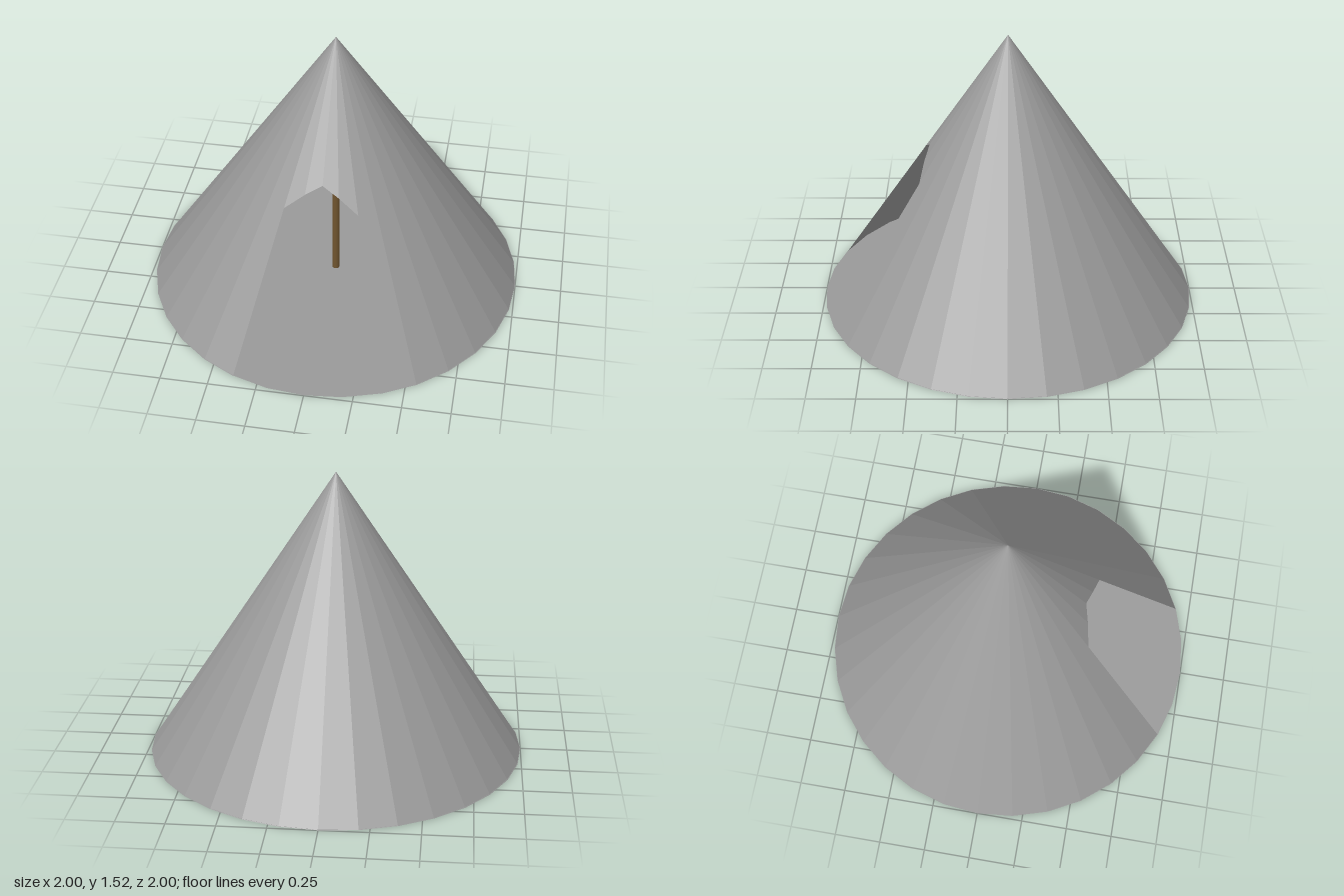
import * as THREE from 'three';

const HEIGHT = 1.52, SIDES = 32;

// Point on the cone at side corner k (0 = front) and height y
const onCone = (k, y) => {
  const a = (k / SIDES) * Math.PI * 2, r = 1 - y / HEIGHT;
  return [Math.sin(a) * r, y, Math.cos(a) * r];
};

export function createModel() {
  const canvas = new THREE.MeshStandardMaterial({ color: 0x999999, side: THREE.DoubleSide, flatShading: true });
  canvas.name = 'greyCanvas';
  const wood = new THREE.MeshStandardMaterial({ color: 0x70552f });
  wood.name = 'brownWood';

  const group = new THREE.Group();
  group.name = 'tent';
  const add = (name, geometry, material) => {
    const mesh = new THREE.Mesh(geometry, material);
    mesh.name = name;
    group.add(mesh);
    return mesh;
  };

  // Cone wall: the four front sides start above the doorway
  const doorTop = [0.895, 0.845, 0.765];
  const corners = [];
  for (let k = -SIDES / 2; k < SIDES / 2; k++) {
    const inDoor = k >= -2 && k < 2;
    const y0 = inDoor ? doorTop[Math.abs(k)] : 0;
    const y1 = inDoor ? doorTop[Math.abs(k + 1)] : 0;
    corners.push(...onCone(k, y0), ...onCone(k + 1, y1), 0, HEIGHT, 0);
  }
  const wall = new THREE.BufferGeometry();
  wall.setAttribute('position', new THREE.Float32BufferAttribute(corners, 3));
  wall.computeVertexNormals();
  add('wall', wall, canvas);

  // Ground sheet
  const floor = add('floor', new THREE.CircleGeometry(1, SIDES).rotateX(-Math.PI / 2), canvas);
  floor.position.y = 0.003;

  // Centre pole
  const poleHeight = 1.48;
  const pole = add('centrePole', new THREE.CylinderGeometry(0.02, 0.02, poleHeight, 12), wood);
  pole.position.y = poleHeight / 2;

  return group;
}
